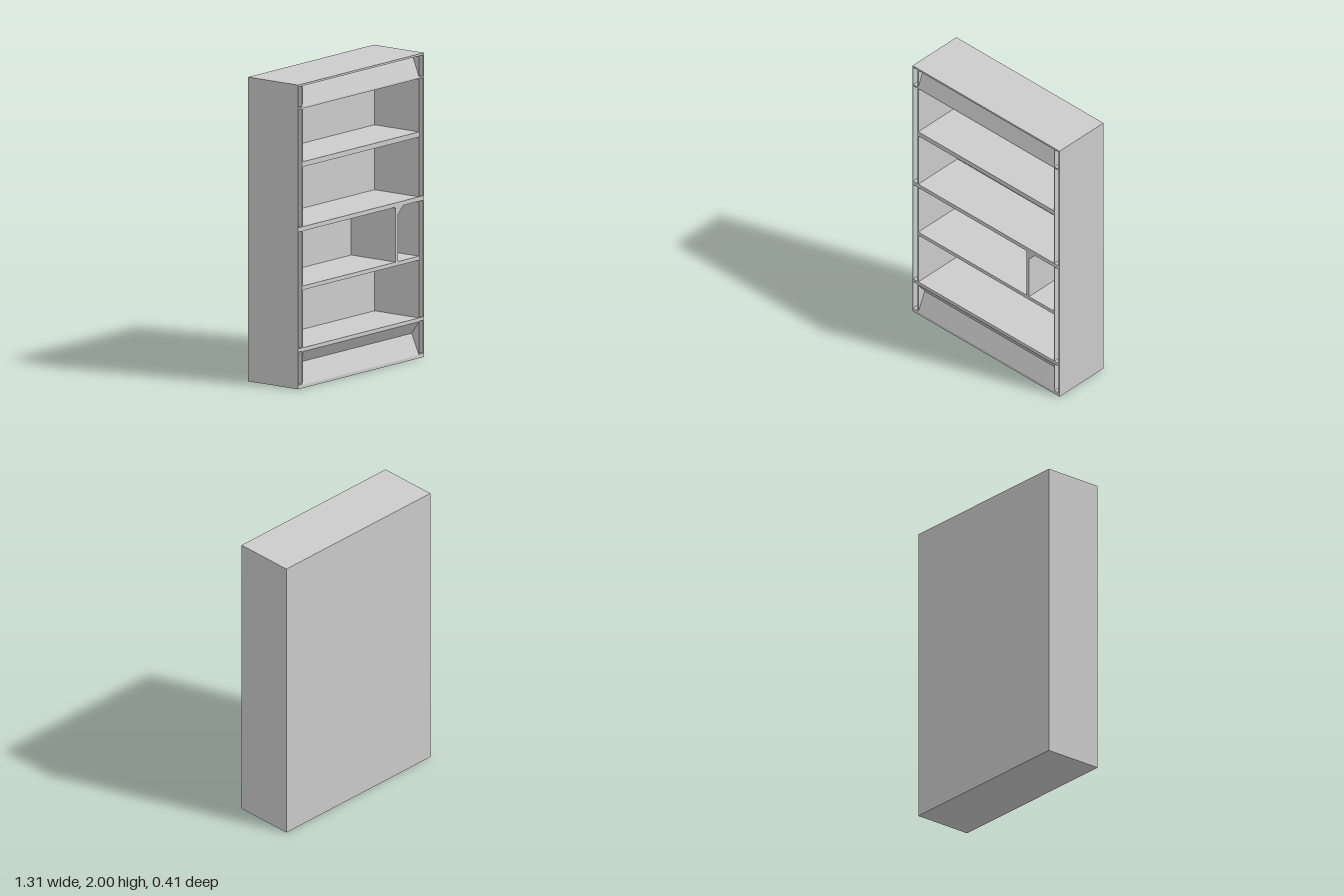
import * as THREE from 'three';

const W = 0.653, H = 2, F = 0.205; // half width, height, half depth
const material = new THREE.MeshStandardMaterial({ color: 0xcccccc, flatShading: true });

// Flat mesh from convex polygons with counter-clockwise corners
function faces(name, polygons) {
  const pos = [];
  for (const p of polygons)
    for (let i = 1; i < p.length - 1; i++) pos.push(...p[0], ...p[i], ...p[i + 1]);
  const geo = new THREE.BufferGeometry();
  geo.setAttribute('position', new THREE.Float32BufferAttribute(pos, 3));
  geo.computeVertexNormals();
  const mesh = new THREE.Mesh(geo, material);
  mesh.name = name;
  return mesh;
}

// Rectangle outline with optional chamfers on the two upper corners
function outline(x0, x1, y0, y1, cutLeft = 0, cutRight = 0) {
  const pts = [[x0, y0], [x1, y0]];
  if (cutRight) pts.push([x1, y1 - cutRight], [x1 - cutRight, y1]);
  else pts.push([x1, y1]);
  if (cutLeft) pts.push([x0 + cutLeft, y1], [x0, y1 - cutLeft]);
  else pts.push([x0, y1]);
  return pts;
}

// Inner walls and back of a straight recess
function recess(name, pts, depth) {
  const z = F - depth;
  const polys = pts.map((a, i) => {
    const b = pts[(i + 1) % pts.length];
    return [[...a, F], [...b, F], [...b, z], [...a, z]];
  });
  polys.push(pts.map((p) => [...p, z]));
  return faces(name, polys);
}

// Niche swept across the width from a (y, z) profile running bottom to top
function niche(name, x0, x1, profile) {
  const polys = [];
  for (let i = 0; i < profile.length - 1; i++) {
    const a = profile[i], b = profile[i + 1];
    polys.push([[x0, ...a], [x1, ...a], [x1, ...b], [x0, ...b]]);
  }
  polys.push(profile.map((p) => [x0, ...p]));
  polys.push(profile.map((p) => [x1, ...p]).reverse());
  return faces(name, polys);
}

export function createModel() {
  const group = new THREE.Group();
  group.name = 'bookcase';
  const IN = 0.602, holes = [];
  const addRecess = (name, pts, depth) => {
    holes.push(pts);
    group.add(recess(name, pts, depth));
  };

  // Shelf compartments
  const rows = [[0.265, 0.645], [1.061, 1.454], [1.488, 1.838]];
  for (const [y0, y1] of rows) addRecess('compartment', outline(-IN, IN, y0, y1), 0.365);
  addRecess('wideCompartment', outline(-IN, 0.36, 0.671, 1.032, 0, 0.008), 0.365);
  addRecess('smallCompartment', outline(0.382, IN, 0.671, 1.032, 0.055), 0.365);

  // Narrow grooves in the side stiles
  const grooves = [[0.026, 0.243], [0.265, 1.032], [1.061, 1.838], [1.849, 1.987]];
  for (const [y0, y1] of grooves) {
    addRecess('leftGroove', outline(0.608, 0.643, y0, y1), 0.06);
    addRecess('rightGroove', outline(-0.647, -0.61, y0, y1), 0.06);
  }

  // Sloping header and plinth
  holes.push(outline(-IN, IN, 1.849, 1.987), outline(-IN, IN, 0.02, 0.24));
  group.add(niche('header', -IN, IN, [[1.849, F], [1.987, F - 0.055], [1.987, F]]));
  group.add(niche('plinth', -IN, IN, [[0.02, F], [0.156, F - 0.06], [0.24, F]]));

  // Front face frame with all openings
  const toVectors = (pts) => pts.map((p) => new THREE.Vector2(...p));
  const frame = new THREE.Shape(toVectors(outline(-W, W, 0, H)));
  frame.holes = holes.map((pts) => new THREE.Path(toVectors(pts)));
  const front = new THREE.Mesh(new THREE.ShapeGeometry(frame), material);
  front.name = 'faceFrame';
  front.position.z = F;
  group.add(front);

  // Outer case: sides, top, bottom and back
  const shell = outline(-W, W, 0, H);
  const sides = shell.map((a, i) => {
    const b = shell[(i + 1) % 4];
    return [[...a, -F], [...b, -F], [...b, F], [...a, F]];
  });
  sides.push(shell.map((p) => [...p, -F]).reverse());
  group.add(faces('outerCase', sides));
  return group;
}
